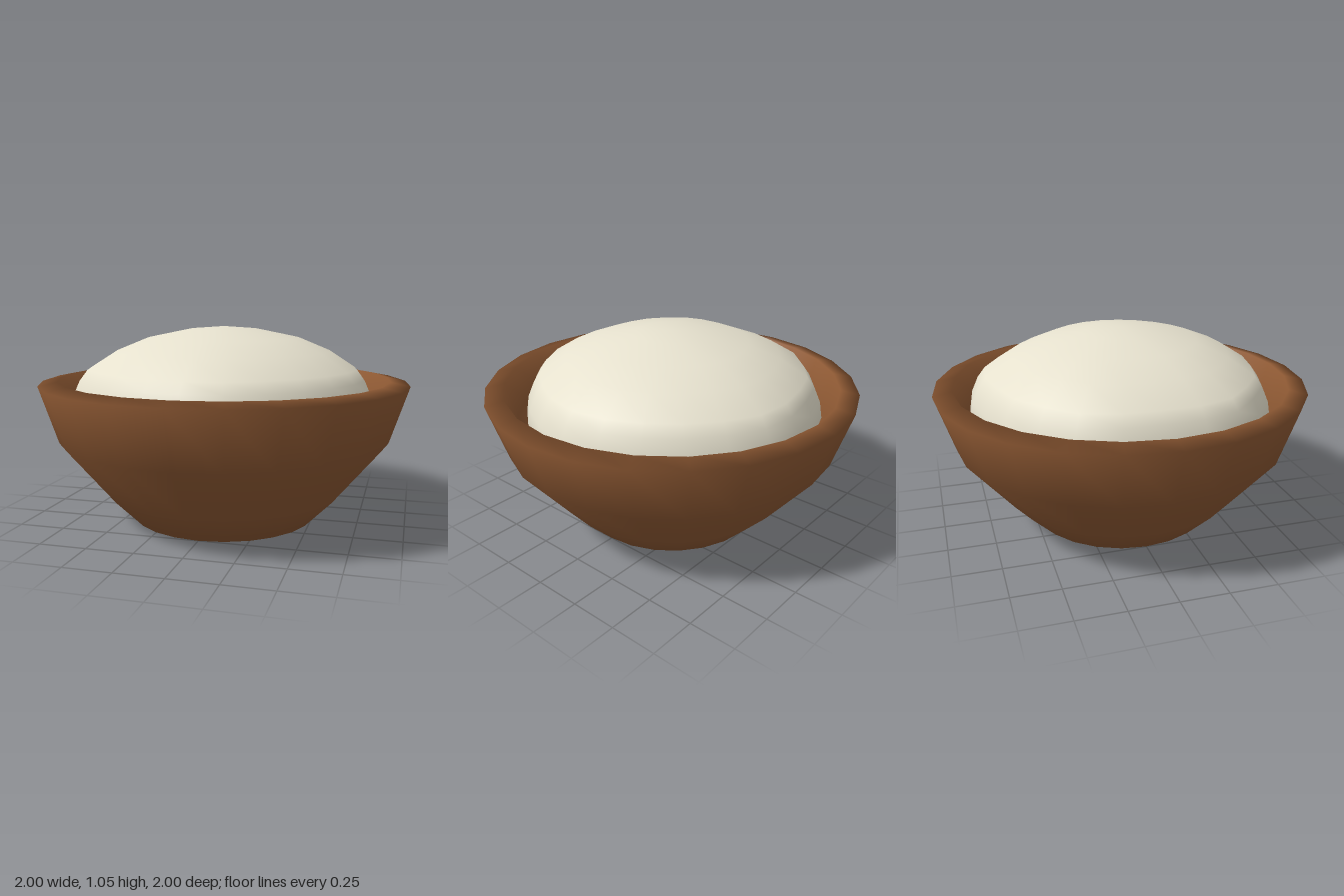
import * as THREE from 'three';
import { mergeVertices } from 'three/addons/utils/BufferGeometryUtils.js';

const SIDES = 24;
const wood = new THREE.MeshStandardMaterial({ color: 0x8b5732 });
wood.name = 'brownWood';
const cream = new THREE.MeshStandardMaterial({ color: 0xe6e1ce });
cream.name = 'creamFilling';

const lathe = (pts) => new THREE.LatheGeometry(pts.map(([r, y]) => new THREE.Vector2(r, y)), SIDES);

// Weld the lathe seam and poles, then smooth the normals
function weld(geo) {
  geo.deleteAttribute('uv');
  geo.deleteAttribute('normal');
  const out = mergeVertices(geo, 1e-4);
  out.computeVertexNormals();
  return out;
}

// Closed shell: foot, flared outside, sloped rim, inside wall and floor
function makeBowl() {
  const geo = weld(lathe([
    [0, 0], [0.5, 0], [0.65, 0.15], [0.9, 0.45], [1, 0.755], [0.9, 0.775],
    [0.84, 0.59], [0.79, 0.45], [0.46, 0.12], [0, 0.1],
  ]));
  const mesh = new THREE.Mesh(geo, wood);
  mesh.name = 'bowl';
  return mesh;
}

// Mounded filling with a slightly uneven outline, mirrored front to back
function makeFilling() {
  const outline = [0.815, 0.805, 0.79, 0.79, 0.80, 0.825, 0.815, 0.80, 0.815, 0.81, 0.835, 0.815, 0.795];
  const geo = lathe([
    [0, 0.4], [0.7, 0.45], [0.79, 0.53], [0.81, 0.61], [0.795, 0.7], [0.76, 0.78],
    [0.72, 0.835], [0.58, 0.925], [0.41, 0.995], [0.19, 1.04], [0, 1.055],
  ]);
  const pos = geo.attributes.position;
  for (let i = 0; i < pos.count; i++) {
    const x = pos.getX(i), z = pos.getZ(i), r = Math.hypot(x, z);
    const step = Math.round(Math.abs(Math.atan2(z, x)) / (Math.PI / 12));
    const k = 1 + (outline[step] / 0.81 - 1) * Math.min(1, r / 0.75);
    pos.setX(i, x * k);
    pos.setZ(i, z * k);
  }
  const mesh = new THREE.Mesh(weld(geo), cream);
  mesh.name = 'filling';
  return mesh;
}

export function createModel() {
  const group = new THREE.Group();
  group.name = 'filledBowl';
  group.add(makeBowl(), makeFilling());
  return group;
}
